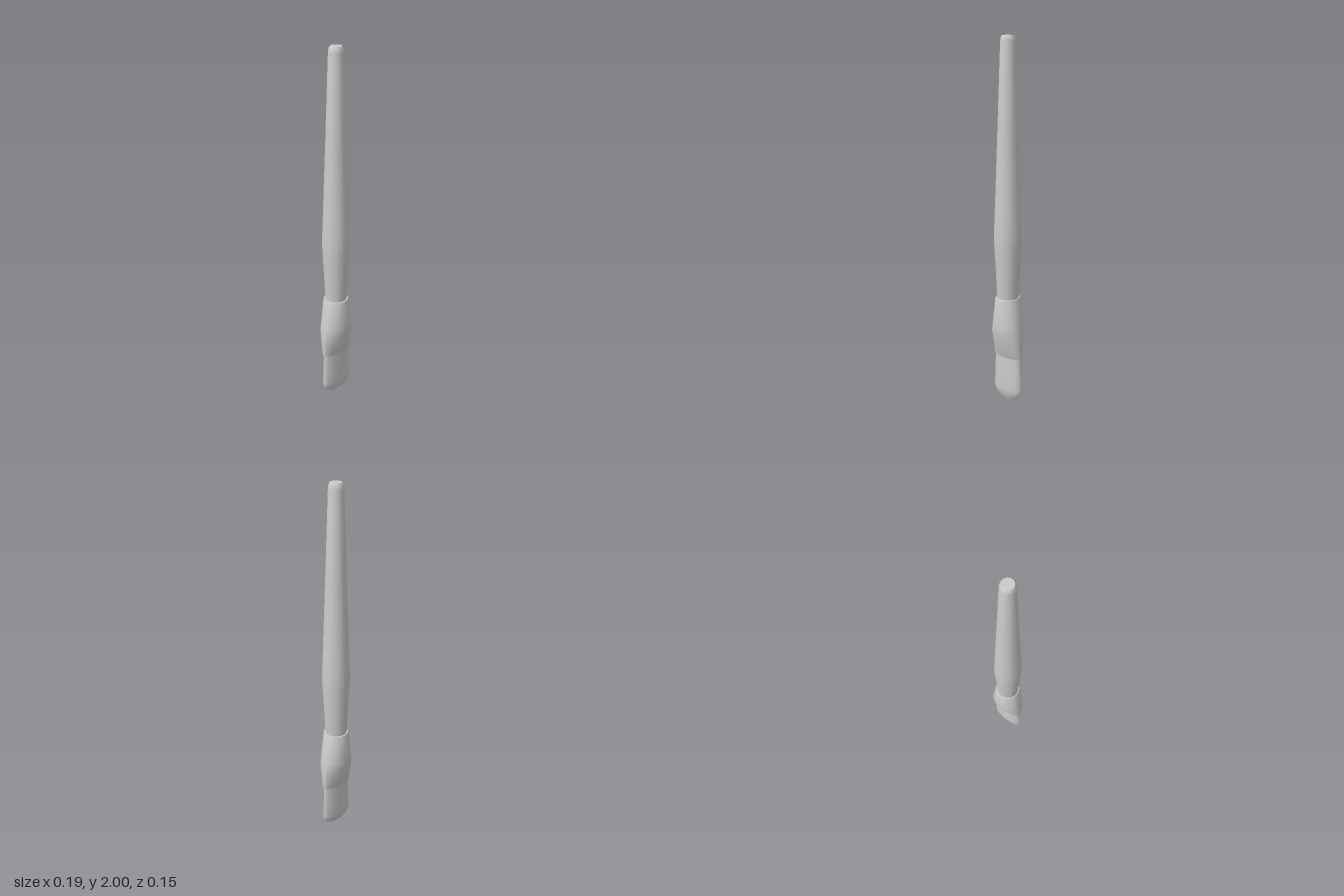
import * as THREE from 'three';
import { toCreasedNormals } from 'three/addons/utils/BufferGeometryUtils.js';

const SIDES = 20;
const material = new THREE.MeshStandardMaterial({ color: 0xcccccc });

// Skin elliptical rings [y, halfWidth, halfDepth], listed bottom to top, capped at both ends
function loft(name, rings) {
  const positions = [];
  const index = [];
  const all = [[rings[0][0], 0, 0], ...rings, [rings[rings.length - 1][0], 0, 0]];
  for (const [y, rx, rz] of all) {
    for (let i = 0; i < SIDES; i++) {
      const a = (i / SIDES) * Math.PI * 2;
      positions.push(rx * Math.cos(a), y, rz * Math.sin(a));
    }
  }
  for (let r = 0; r < all.length - 1; r++) {
    for (let i = 0; i < SIDES; i++) {
      const a = r * SIDES + i;
      const b = r * SIDES + ((i + 1) % SIDES);
      const c = a + SIDES;
      const d = b + SIDES;
      // Collapsed end rings need only one triangle per side
      if (r < all.length - 2) index.push(a, c, d);
      if (r > 0) index.push(a, d, b);
      else index.splice(index.length - 3, 3, a, c, d);
    }
  }
  const geometry = new THREE.BufferGeometry();
  geometry.setAttribute('position', new THREE.Float32BufferAttribute(positions, 3));
  geometry.setIndex(index);
  const mesh = new THREE.Mesh(toCreasedNormals(geometry, 0.75), material);
  mesh.name = name;
  return mesh;
}

export function createModel() {
  const brush = new THREE.Group();
  brush.name = 'paintbrush';

  // Long handle, swelling near the grip and rounded at the tip
  brush.add(loft('handle', [
    [0.58, 0.058, 0.058],
    [0.6, 0.06, 0.06],
    [0.78, 0.068, 0.068],
    [0.88, 0.074, 0.074],
    [0.93, 0.076, 0.076],
    [1.0, 0.074, 0.074],
    [1.5, 0.056, 0.056],
    [1.97, 0.04, 0.04],
    [1.99, 0.037, 0.037],
    [2.0, 0.03, 0.03],
  ]));

  // Ferrule, round at the handle and pinched flat toward the bristles
  brush.add(loft('ferrule', [
    [0.25, 0.094, 0.03],
    [0.26, 0.095, 0.034],
    [0.4, 0.096, 0.077],
    [0.43, 0.092, 0.076],
    [0.59, 0.069, 0.072],
    [0.6, 0.065, 0.068],
  ]));

  // Flat bristle head with a rounded end
  brush.add(loft('bristles', [
    [0, 0.05, 0.014],
    [0.012, 0.072, 0.02],
    [0.04, 0.093, 0.027],
    [0.06, 0.095, 0.029],
    [0.15, 0.091, 0.028],
    [0.27, 0.087, 0.026],
  ]));

  return brush;
}
